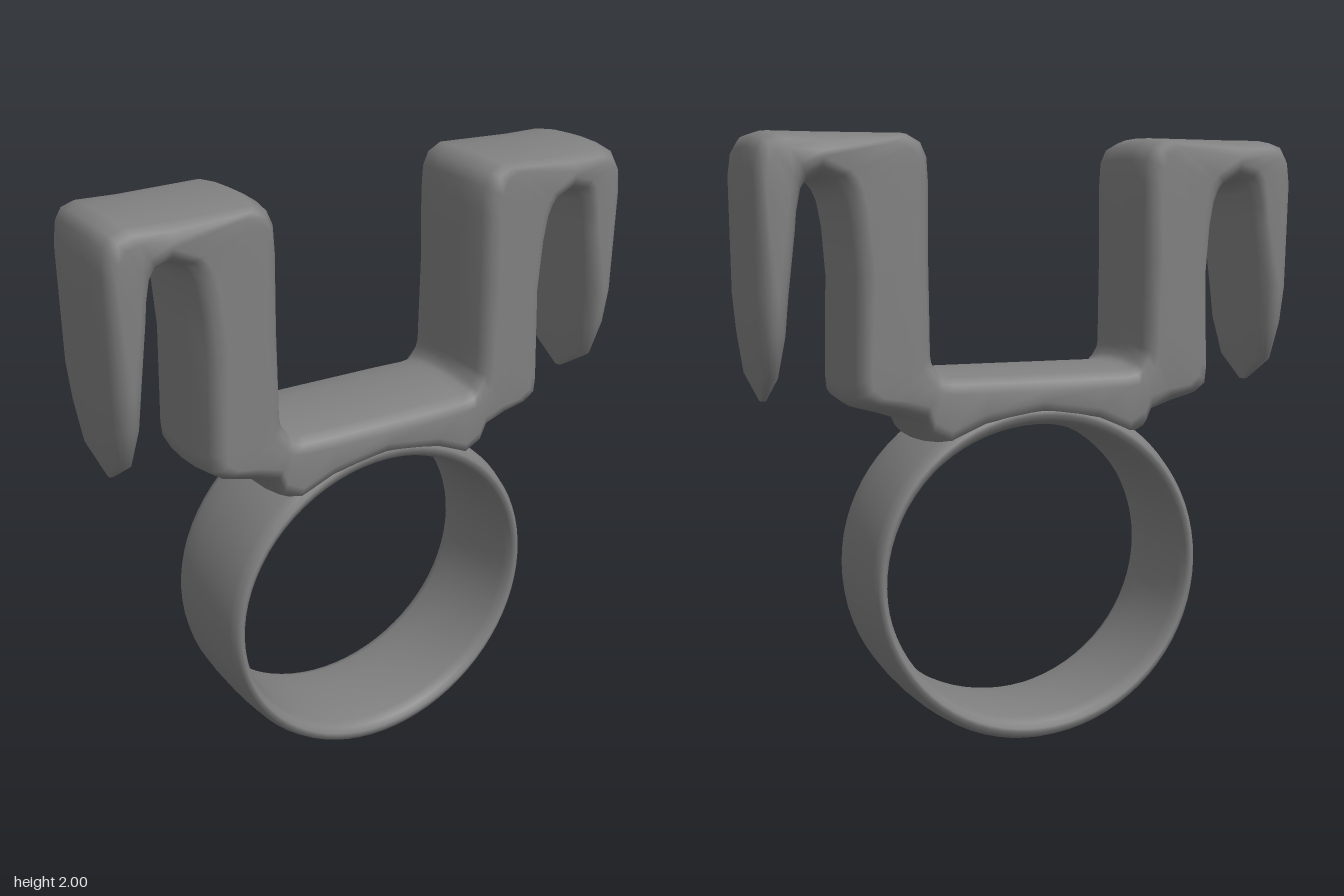
import * as THREE from 'three';

// Half of a section's edge: [position across the depth, inset from the surface]
const EDGE = [[-1, 0.07], [-0.95, 0.04], [-0.8, 0.018], [-0.4, 0.004], [0, 0],
  [0.4, 0.004], [0.8, 0.018], [0.95, 0.04], [1, 0.07]];

// Lofts a soft-edged band through rows of [outerX, outerY, innerX, innerY, halfDepth]
function band(rows, closed) {
  const pos = [], idx = [], n = EDGE.length * 2;
  for (const [ox, oy, ix, iy, d] of rows) {
    const len = Math.hypot(ox - ix, oy - iy);
    const scale = Math.min(1, len / 0.16) / len;
    for (const [v, inset] of EDGE) {
      const t = inset * scale;
      pos.push(ox + (ix - ox) * t, oy + (iy - oy) * t, v * d);
    }
    for (const [v, inset] of EDGE) {
      const t = inset * scale;
      pos.push(ix + (ox - ix) * t, iy + (oy - iy) * t, -v * d);
    }
  }
  const count = rows.length;
  for (let i = 0; i < (closed ? count : count - 1); i++) {
    const p = i * n, q = ((i + 1) % count) * n;
    for (let j = 0; j < n; j++) {
      const k = (j + 1) % n;
      idx.push(p + j, p + k, q + j, p + k, q + k, q + j);
    }
  }
  if (!closed) {
    const e = (count - 1) * n;
    for (let j = 1; j < n - 1; j++) idx.push(0, j + 1, j, e, e + j, e + j + 1);
  }
  const geo = new THREE.BufferGeometry();
  geo.setAttribute('position', new THREE.Float32BufferAttribute(pos, 3));
  geo.setIndex(idx);
  geo.computeVertexNormals();
  return geo;
}

export function createModel() {
  const group = new THREE.Group();
  const grey = new THREE.MeshStandardMaterial({ color: 0x808080 });
  grey.name = 'plain grey';

  // Finger ring: round outside, slightly flattened hole
  const ringRows = [];
  for (let i = 0; i < 72; i++) {
    const a = (i / 72) * Math.PI * 2, s = Math.sin(a), c = Math.cos(a);
    ringRows.push([0.58 * s, 0.583 + 0.58 * c, 0.52 * s, 0.58 + 0.48 * c, 0.21]);
  }
  const ring = new THREE.Mesh(band(ringRows, true), grey);
  ring.name = 'ring';
  group.add(ring);

  // Bridge, post and hanging prong, from the centre to one tip
  const bridge = [
    [0.2, 1.255, 0.2, 1.05, 0.22],
    [0.3, 1.255, 0.32, 1.0, 0.215],
    [0.335, 1.26, 0.385, 1.03, 0.212],
    [0.35, 1.275, 0.41, 1.085, 0.215],
  ];
  const post = [
    [0.36, 1.3, 0.5, 1.115], [0.36, 1.32, 0.59, 1.14], [0.36, 1.36, 0.63, 1.17],
    [0.36, 1.4, 0.635, 1.22], [0.36, 1.6, 0.63, 1.55], [0.36, 1.85, 0.64, 1.7],
    [0.365, 1.93, 0.655, 1.78], [0.385, 1.975, 0.67, 1.815], [0.43, 2, 0.69, 1.84],
    [0.72, 2, 0.72, 1.85], [0.86, 2, 0.75, 1.84], [0.905, 1.985, 0.77, 1.81],
    [0.925, 1.95, 0.785, 1.74], [0.935, 1.88, 0.79, 1.68],
  ].map((r) => [...r, 0.21]);
  const prong = [
    [0.935, 1.5, 0.81, 1.5, 0.208],
    [0.925, 1.38, 0.82, 1.38, 0.19],
    [0.91, 1.25, 0.84, 1.25, 0.14],
    [0.88, 1.17, 0.86, 1.17, 0.015],
  ];
  const half = [...bridge, ...post, ...prong];
  const mirrored = half.map(([ox, oy, ix, iy, d]) => [-ox, oy, -ix, iy, d]).reverse();
  const holder = new THREE.Mesh(
    band([...mirrored, [0, 1.255, 0, 1.08, 0.22], ...half], false), grey);
  holder.name = 'bridge and hooks';
  group.add(holder);
  return group;
}
